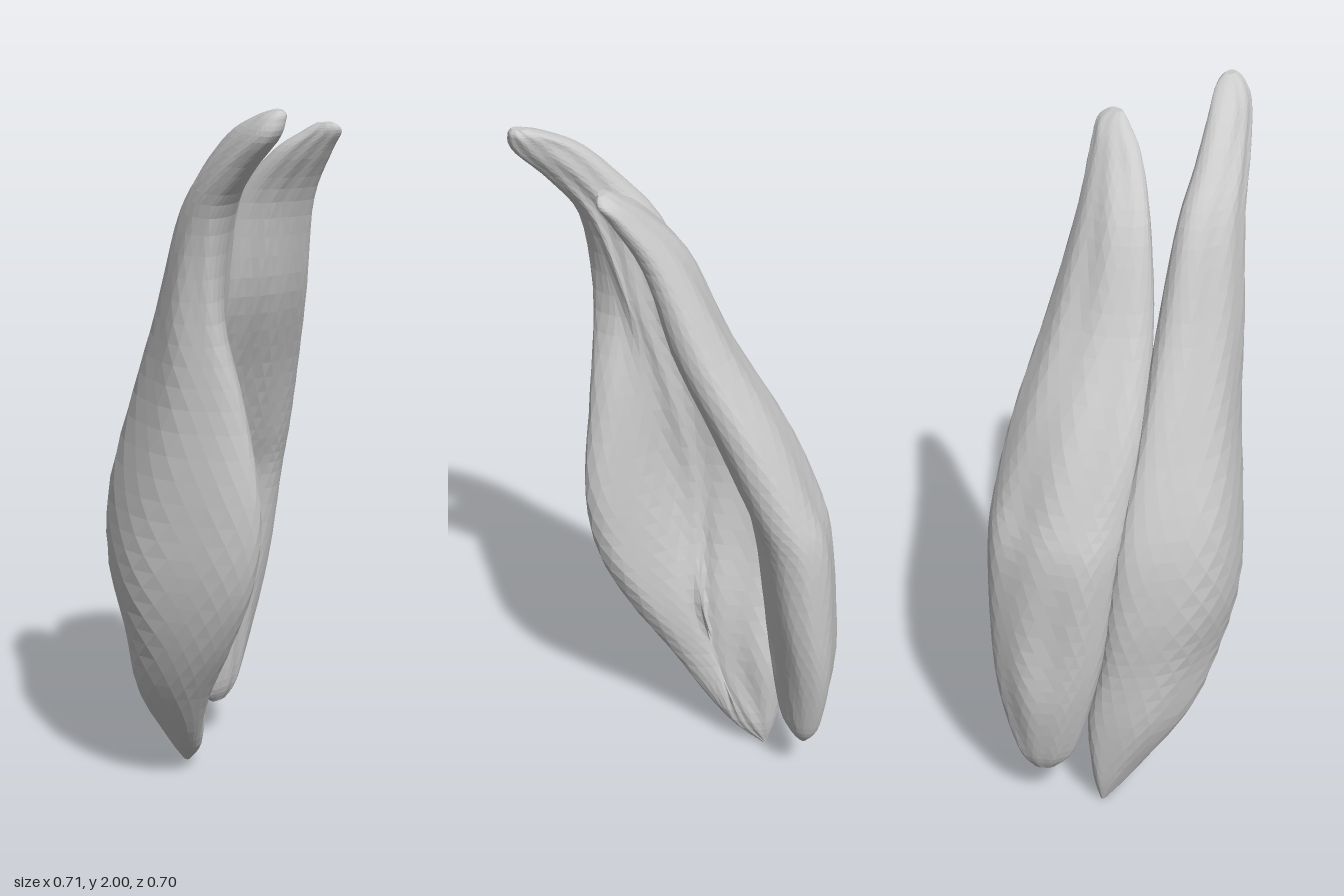
import * as THREE from 'three';

const RINGS = 52, SIDES = 32;

// Smooth interpolation through rows of numbers, u in 0..1
function sampleRows(rows, u) {
  const f = u * (rows.length - 1);
  const i = Math.min(Math.floor(f), rows.length - 2), t = f - i;
  const row = k => rows[Math.max(0, Math.min(rows.length - 1, k))];
  return rows[0].map((_, c) => {
    const a = row(i - 1)[c], b = row(i)[c], d = row(i + 1)[c], e = row(i + 2)[c];
    return b + 0.5 * t * (d - a + t * (2 * a - 5 * b + 4 * d - e + t * (3 * (b - d) + e - a)));
  });
}

// One point of a curved lens: a bent centre line through three points, thickened on both sides
function lensPoint([y, x0, z0, x1, z1, x2, z2, thickA, thickB], angle, u) {
  const s = (1 - Math.cos(angle)) / 2;
  const w = [(1 - s) * (1 - 2 * s), 4 * s * (1 - s), s * (2 * s - 1)];
  const d = [4 * s - 3, 4 - 8 * s, 4 * s - 1];
  const tx = d[0] * x0 + d[1] * x1 + d[2] * x2;
  const tz = d[0] * z0 + d[1] * z1 + d[2] * z2;
  const len = Math.hypot(tx, tz) || 1;
  const sn = Math.sin(angle);
  // shallow lengthwise fibre grooves
  const fibre = 1 + 0.04 * Math.sin(angle * 9 + u * 7) + 0.03 * Math.sin(angle * 5 - u * 19);
  const off = Math.sign(sn) * Math.pow(Math.abs(sn), 0.8) * (sn > 0 ? thickA : thickB) * fibre;
  return [
    w[0] * x0 + w[1] * x1 + w[2] * x2 + off * tz / len,
    y,
    w[0] * z0 + w[1] * z1 + w[2] * z2 - off * tx / len,
  ];
}

// Loft the lens sections from bottom to top and close both tips
function muscle(name, rows, material) {
  const pos = [], index = [];
  for (let i = 0; i <= RINGS; i++) {
    const u = i / RINGS, row = sampleRows(rows, u);
    for (let j = 0; j < SIDES; j++) {
      const angle = ((j + (i % 2) * 0.5) / SIDES) * Math.PI * 2;
      pos.push(...lensPoint(row, angle, u));
    }
  }
  for (let i = 0; i < RINGS; i++) {
    for (let j = 0; j < SIDES; j++) {
      const k = (j + 1) % SIDES;
      const a = i * SIDES + j, b = i * SIDES + k, c = a + SIDES, d = b + SIDES;
      if (i % 2) index.push(a, d, b, a, c, d);
      else index.push(a, c, b, b, c, d);
    }
  }
  const first = rows[0], last = rows[rows.length - 1];
  const low = pos.length / 3, high = low + 1, top = RINGS * SIDES;
  pos.push(first[3], first[0], first[4], last[3], last[0], last[4]);
  for (let j = 0; j < SIDES; j++) {
    const k = (j + 1) % SIDES;
    index.push(low, j, k, high, top + k, top + j);
  }
  const geo = new THREE.BufferGeometry();
  geo.setAttribute('position', new THREE.Float32BufferAttribute(pos, 3));
  geo.setIndex(index);
  geo.computeVertexNormals();
  const mesh = new THREE.Mesh(geo, material);
  mesh.name = name;
  return mesh;
}

// Rows: height, centre line start / middle / end as x, z pairs, thickness on either side
// Right head: outer thickness, then the inner belly that fills the hollow
const RIGHT_HEAD = [
  [0.00, 0.04, -0.22, 0.045, -0.23, 0.05, -0.235, 0.008, 0.008],
  [0.10, -0.04, -0.13, -0.01, -0.20, 0.07, -0.25, 0.045, 0.055],
  [0.30, -0.11, -0.03, -0.12, -0.18, 0.085, -0.26, 0.08, 0.12],
  [0.50, -0.165, 0.09, -0.19, -0.15, 0.05, -0.28, 0.088, 0.145],
  [0.70, -0.19, 0.18, -0.235, -0.15, 0.03, -0.29, 0.088, 0.14],
  [0.92, -0.20, 0.21, -0.245, -0.125, 0.00, -0.28, 0.085, 0.12],
  [1.20, -0.22, 0.17, -0.24, -0.055, -0.06, -0.20, 0.08, 0.105],
  [1.45, -0.26, 0.125, -0.24, 0.01, -0.11, -0.10, 0.08, 0.095],
  [1.70, -0.295, 0.155, -0.255, 0.075, -0.16, -0.01, 0.065, 0.07],
  [1.83, -0.315, 0.24, -0.28, 0.16, -0.21, 0.08, 0.055, 0.055],
  [1.93, -0.325, 0.335, -0.30, 0.26, -0.25, 0.17, 0.045, 0.045],
  [1.98, -0.32, 0.35, -0.30, 0.31, -0.27, 0.26, 0.032, 0.032],
  [2.00, -0.31, 0.345, -0.30, 0.33, -0.285, 0.315, 0.012, 0.012],
];
// Left head: front thickness, then back thickness
const LEFT_HEAD = [
  [0.13, 0.24, -0.235, 0.21, -0.24, 0.18, -0.24, 0.015, 0.015],
  [0.20, 0.28, -0.22, 0.21, -0.24, 0.12, -0.24, 0.045, 0.045],
  [0.40, 0.32, -0.18, 0.205, -0.245, 0.07, -0.25, 0.08, 0.08],
  [0.60, 0.335, -0.14, 0.195, -0.235, 0.03, -0.26, 0.095, 0.095],
  [0.85, 0.335, -0.10, 0.17, -0.22, 0.00, -0.255, 0.105, 0.105],
  [1.00, 0.31, -0.055, 0.14, -0.18, -0.03, -0.22, 0.105, 0.105],
  [1.20, 0.255, 0.01, 0.095, -0.11, -0.07, -0.15, 0.10, 0.10],
  [1.45, 0.165, 0.10, 0.04, 0.00, -0.095, -0.035, 0.085, 0.085],
  [1.70, 0.085, 0.175, 0.01, 0.085, -0.085, 0.04, 0.058, 0.058],
  [1.84, 0.055, 0.25, 0.005, 0.19, -0.06, 0.14, 0.042, 0.042],
  [1.90, 0.04, 0.29, 0.01, 0.25, -0.03, 0.215, 0.028, 0.028],
  [1.925, 0.015, 0.28, 0.00, 0.265, -0.015, 0.25, 0.01, 0.01],
];

export function createModel() {
  const group = new THREE.Group();
  group.name = 'twoHeadedMuscle';
  const material = new THREE.MeshStandardMaterial({ color: 0xcccccc, flatShading: true });
  group.add(muscle('rightMuscleHead', RIGHT_HEAD, material));
  group.add(muscle('leftMuscleHead', LEFT_HEAD, material));
  return group;
}
